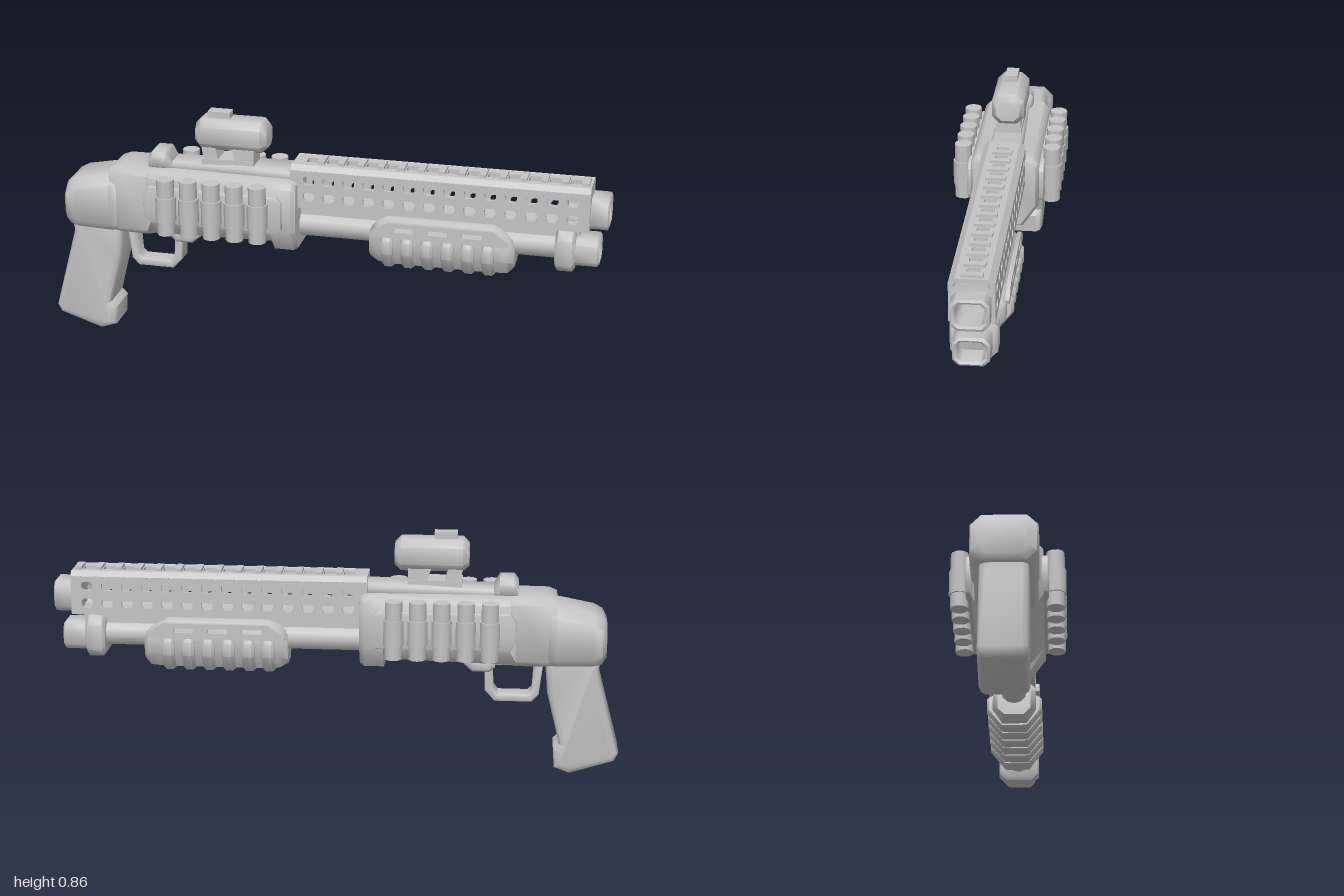
import * as THREE from 'three';
import { toCreasedNormals } from 'three/addons/utils/BufferGeometryUtils.js';

export function createModel() {
  const group = new THREE.Group();
  const paleGrey = new THREE.MeshStandardMaterial({ color: 0xc4c4c4 });
  paleGrey.name = 'pale grey';
  const crease = 0.85;

  const add = (name, geometry, x = 0, y = 0, z = 0) => {
    const mesh = new THREE.Mesh(geometry, paleGrey);
    mesh.name = name;
    mesh.position.set(x, y, z);
    group.add(mesh);
    return mesh;
  };
  const box = (name, x0, x1, y0, y1, z0, z1) =>
    add(name, new THREE.BoxGeometry(x1 - x0, y1 - y0, z1 - z0), (x0 + x1) / 2, (y0 + y1) / 2, (z0 + z1) / 2);

  // Loft of chamfered sections along x: [x, bottom, top, halfWidth, chamfer, bottomRise, bottomHalfWidth]
  const loft = (name, sections) => {
    const pos = [], index = [];
    for (const [x, y0, y1, w, c, rise = c, bw = w - c] of sections) {
      const half = [[y1, w - c], [y1 - c, w], [y0 + rise, w], [y0, bw]];
      for (const [y, z] of half) pos.push(x, y, z);
      for (const [y, z] of half.reverse()) pos.push(x, y, -z);
    }
    const last = (sections.length - 1) * 8;
    for (let r = 0; r < last; r += 8) for (let j = 0; j < 8; j++) {
      const a = r + j, b = r + (j + 1) % 8;
      index.push(a, b, b + 8, a, b + 8, a + 8);
    }
    for (let j = 1; j < 7; j++) {
      index.push(0, j + 1, j, last, last + j, last + j + 1);
    }
    const g = new THREE.BufferGeometry();
    g.setAttribute('position', new THREE.Float32BufferAttribute(pos, 3));
    g.setIndex(index);
    return add(name, toCreasedNormals(g, crease));
  };

  // Side profile extruded evenly about z = 0
  const slab = (name, points, halfDepth, bevel = 0, holes = []) => {
    const vec = (p) => p.map(([x, y]) => new THREE.Vector2(x, y));
    const shape = new THREE.Shape(vec(points));
    for (const h of holes) shape.holes.push(new THREE.Path(vec(h)));
    const g = new THREE.ExtrudeGeometry(shape, {
      depth: 2 * (halfDepth - bevel), bevelEnabled: bevel > 0, bevelSize: bevel,
      bevelThickness: bevel, bevelOffset: -bevel, bevelSegments: 2,
    });
    g.translate(0, 0, bevel - halfDepth);
    return add(name, toCreasedNormals(g, crease));
  };
  const rect = (x0, x1, y0, y1) => [[x0, y0], [x1, y0], [x1, y1], [x0, y1]];
  const cutRect = (x0, x1, y0, y1, c = 0.008) => [[x0 + c, y0], [x1 - c, y0], [x1, y0 + c], [x1, y1 - c],
    [x1 - c, y1], [x0 + c, y1], [x0, y1 - c], [x0, y0 + c]];

  // Grip and rear housing
  slab('grip', [[-0.93, 0.45], [-0.92, 0.38], [-1, 0.08], [-0.985, 0.05], [-0.83, 0.0], [-0.775, 0.02],
    [-0.77, 0.09], [-0.79, 0.11], [-0.743, 0.3], [-0.73, 0.45]], 0.08, 0.022);
  loft('rearHousing', [[-0.945, 0.43, 0.55, 0.08, 0.03], [-0.93, 0.41, 0.575, 0.105, 0.035],
    [-0.9, 0.4, 0.59, 0.11, 0.035], [-0.77, 0.395, 0.615, 0.11, 0.035], [-0.74, 0.395, 0.61, 0.1, 0.03]]);

  // Receiver
  loft('receiver', [[-0.77, 0.41, 0.635, 0.095, 0.02], [-0.74, 0.4, 0.645, 0.102, 0.02],
    [-0.63, 0.4, 0.645, 0.105, 0.02], [-0.61, 0.4, 0.645, 0.12, 0.02, 0.06, 0.07],
    [-0.18, 0.41, 0.645, 0.12, 0.02, 0.06, 0.07], [-0.17, 0.38, 0.645, 0.12, 0.02, 0.08, 0.065],
    [-0.1, 0.38, 0.645, 0.12, 0.02, 0.08, 0.065], [-0.085, 0.39, 0.635, 0.11, 0.02, 0.08, 0.06]]);
  loft('receiverRail', [[-0.6, 0.63, 0.665, 0.045, 0.008], [-0.3, 0.63, 0.675, 0.055, 0.01], [-0.1, 0.63, 0.675, 0.06, 0.01]]);
  loft('rearSight', [[-0.635, 0.63, 0.685, 0.05, 0.015], [-0.62, 0.63, 0.703, 0.06, 0.02],
    [-0.57, 0.63, 0.703, 0.06, 0.02], [-0.55, 0.63, 0.67, 0.05, 0.015]]);
  loft('triggerHousing', [[-0.56, 0.38, 0.42, 0.055, 0.01], [-0.54, 0.365, 0.42, 0.06, 0.01],
    [-0.48, 0.365, 0.42, 0.06, 0.01], [-0.45, 0.39, 0.42, 0.055, 0.01]]);

  // Trigger guard
  slab('triggerGuard', [[-0.73, 0.41], [-0.715, 0.28], [-0.69, 0.252], [-0.56, 0.252], [-0.525, 0.29], [-0.52, 0.41]],
    0.035, 0.006, [[[-0.695, 0.385], [-0.69, 0.295], [-0.675, 0.28], [-0.57, 0.28], [-0.555, 0.3], [-0.55, 0.385]]]);

  // Side shell carriers
  const shellGeometry = new THREE.CylinderGeometry(0.031, 0.031, 0.205, 10);
  const loopGeometry = new THREE.CylinderGeometry(0.036, 0.036, 0.09, 10);
  for (const s of [-1, 1]) {
    slab('shellPlate', [[-0.63, 0.5], [-0.61, 0.465], [-0.14, 0.465], [-0.13, 0.48], [-0.13, 0.58], [-0.15, 0.6],
      [-0.61, 0.6], [-0.63, 0.57]], 0.012, 0.004).position.z = s * 0.125;
    for (let i = 0; i < 5; i++) {
      const x = -0.54 + i * 0.083;
      add('shell', shellGeometry, x, 0.542, s * 0.16);
      add('shellLoop', loopGeometry, x, 0.535, s * 0.16);
    }
  }

  // Optic with two mount legs
  loft('optic', [[-0.462, 0.74, 0.815, 0.042, 0.02], [-0.44, 0.722, 0.835, 0.057, 0.026],
    [-0.225, 0.722, 0.835, 0.057, 0.026], [-0.203, 0.74, 0.815, 0.042, 0.02]]);
  box('opticKnob', -0.42, -0.34, 0.82, 0.858, -0.022, 0.022);
  box('opticBase', -0.44, -0.25, 0.665, 0.69, -0.045, 0.045);
  slab('opticRearLeg', [[-0.43, 0.67], [-0.375, 0.67], [-0.39, 0.73], [-0.44, 0.73]], 0.042);
  slab('opticFrontLeg', [[-0.31, 0.67], [-0.25, 0.67], [-0.25, 0.73], [-0.33, 0.73]], 0.042);

  // Ventilated barrel shroud: pierced sides, slotted top, solid underside
  const sideHoles = [], topSlots = [];
  for (let i = 0; i < 14; i++) {
    const x = -0.065 + i * 0.071;
    sideHoles.push(cutRect(x, x + 0.04, 0.571, 0.604), cutRect(x, x + 0.04, 0.633, 0.665));
    topSlots.push(rect(x, x + 0.04, -0.022, 0.022));
    box('railTooth', x + 0.044, x + 0.067, 0.695, 0.71, -0.035, 0.035);
  }
  for (const s of [-1, 1]) {
    slab('shroudSide', rect(-0.11, 0.935, 0.55, 0.685), 0.008, 0, sideHoles).position.z = s * 0.066;
    const edge = slab('shroudChamfer', rect(-0.11, 0.935, -0.013, 0.013), 0.007);
    edge.position.set(0, 0.688, s * 0.06);
    edge.rotation.x = -Math.PI / 2 + s * Math.PI / 4;
  }
  const top = slab('shroudTop', rect(-0.11, 0.935, -0.055, 0.055), 0.007, 0, topSlots);
  top.rotation.x = -Math.PI / 2;
  top.position.y = 0.693;
  box('shroudBottom', -0.11, 0.935, 0.545, 0.56, -0.07, 0.07);
  loft('muzzle', [[0.9, 0.555, 0.685, 0.06, 0.02], [0.935, 0.55, 0.685, 0.062, 0.02], [0.937, 0.55, 0.66, 0.062, 0.02],
    [0.995, 0.55, 0.66, 0.062, 0.02], [1, 0.56, 0.652, 0.055, 0.018], [0.995, 0.568, 0.644, 0.046, 0.014],
    [0.85, 0.568, 0.644, 0.046, 0.014]]);

  // Magazine tube, clamp and open end cap
  const tube = add('magazineTube', new THREE.CylinderGeometry(0.047, 0.047, 0.93, 12), 0.375, 0.465, 0);
  tube.rotation.z = Math.PI / 2;
  box('tubeBracket', -0.1, 0.9, 0.5, 0.55, -0.025, 0.025);
  loft('tubeClamp', [[0.82, 0.4, 0.525, 0.07, 0.03], [0.83, 0.387, 0.537, 0.077, 0.03],
    [0.88, 0.387, 0.537, 0.077, 0.03], [0.89, 0.4, 0.525, 0.07, 0.03]]);
  loft('tubeCap', [[0.86, 0.41, 0.51, 0.06, 0.02], [0.965, 0.41, 0.51, 0.06, 0.02], [0.972, 0.418, 0.502, 0.053, 0.018],
    [0.965, 0.425, 0.495, 0.044, 0.014], [0.85, 0.425, 0.495, 0.044, 0.014]]);

  // Pump handle with raised ribs and slotted side plates
  loft('pumpBody', [[0.17, 0.375, 0.485, 0.06, 0.025], [0.2, 0.36, 0.515, 0.078, 0.025, 0.05, 0.045],
    [0.24, 0.355, 0.53, 0.08, 0.025, 0.06, 0.045], [0.6, 0.355, 0.53, 0.08, 0.025, 0.06, 0.045],
    [0.66, 0.36, 0.495, 0.078, 0.025, 0.05, 0.045], [0.68, 0.38, 0.475, 0.06, 0.025]]);
  for (let i = 0; i < 6; i++) {
    const x = 0.215 + i * 0.071;
    loft('pumpRib', [[x, 0.352, 0.47, 0.092, 0.02, 0.06, 0.045], [x + 0.01, 0.345, 0.478, 0.1, 0.02, 0.065, 0.05],
      [x + 0.034, 0.345, 0.478, 0.1, 0.02, 0.065, 0.05], [x + 0.044, 0.352, 0.47, 0.092, 0.02, 0.06, 0.045]]);
  }
  const plateHoles = [0.26, 0.38, 0.5].map((x) => rect(x, x + 0.07, 0.492, 0.508));
  for (const s of [-1, 1]) {
    slab('pumpSidePlate', [[0.18, 0.47], [0.66, 0.47], [0.665, 0.485], [0.61, 0.525], [0.24, 0.525], [0.18, 0.485]],
      0.007, 0, plateHoles).position.z = s * 0.085;
  }

  return group;
}
